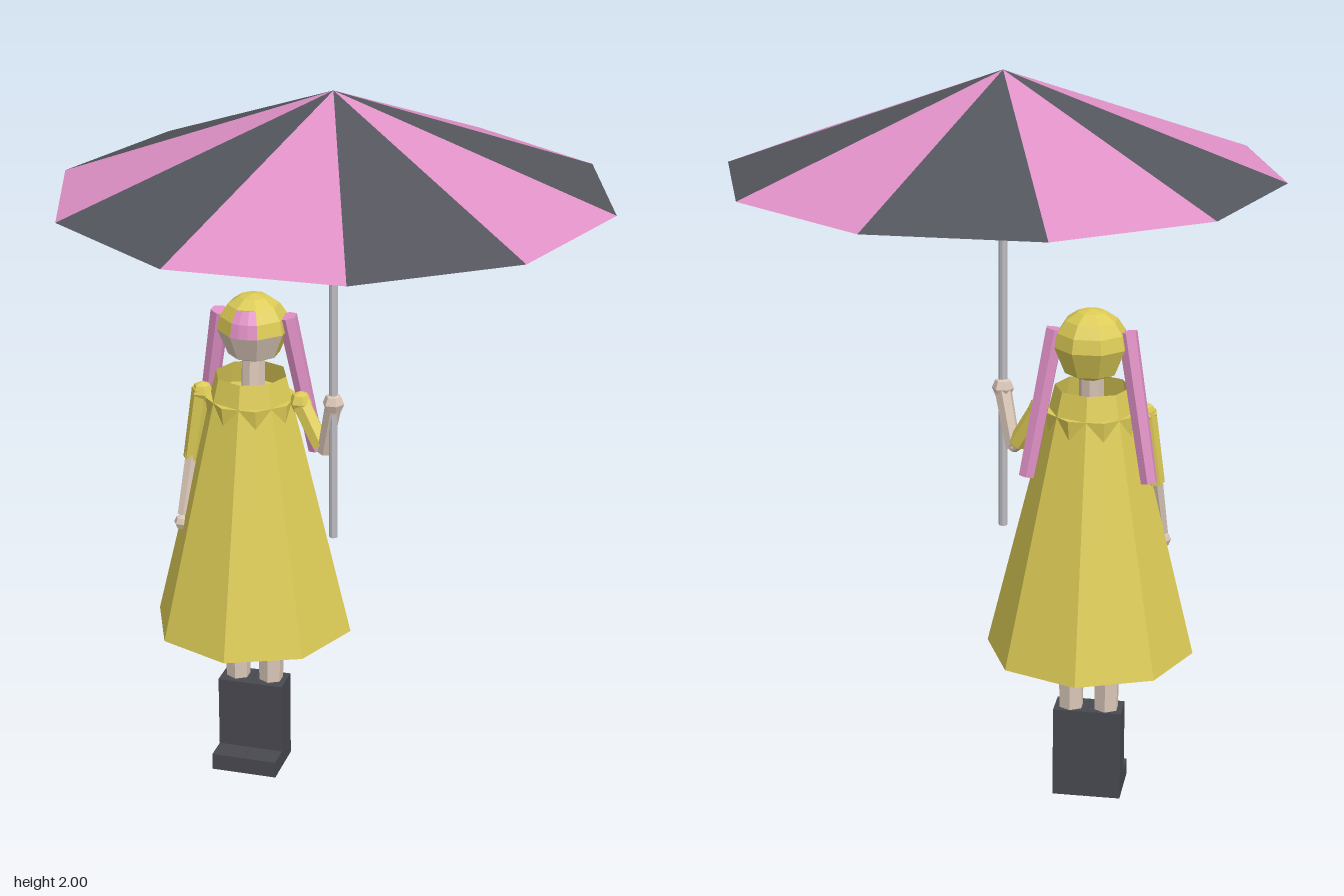
import * as THREE from 'three';

const mat = (name, color, side = THREE.FrontSide) => {
  const m = new THREE.MeshStandardMaterial({ color, side });
  m.name = name;
  return m;
};

export function createModel() {
  const model = new THREE.Group();
  model.name = 'girlWithUmbrella';

  const yellow = mat('yellow', 0xdccb56, THREE.DoubleSide);
  const pink = mat('pink', 0xe091c6, THREE.DoubleSide);
  const charcoal = mat('charcoal', 0x54565d, THREE.DoubleSide);
  const bootBlack = mat('bootBlack', 0x484950);
  const skin = mat('skin', 0xdac7b8);
  const steel = mat('steel', 0xbcbcc2);

  // Faceted mesh: unshared vertices give flat normals
  const add = (parent, name, geometry, material, x = 0, y = 0, z = 0) => {
    const g = geometry.index ? geometry.toNonIndexed() : geometry;
    g.computeVertexNormals();
    const m = new THREE.Mesh(g, material);
    m.name = name;
    m.position.set(x, y, z);
    parent.add(m);
    return m;
  };

  // Tapered limb between two points
  const limb = (parent, name, a, b, ra, rb, sides, material) => {
    const p = new THREE.Vector3(...a), q = new THREE.Vector3(...b);
    const d = q.clone().sub(p);
    const m = add(parent, name, new THREE.CylinderGeometry(rb, ra, d.length(), sides), material);
    m.position.copy(p).add(q).multiplyScalar(0.5);
    m.quaternion.setFromUnitVectors(new THREE.Vector3(0, 1, 0), d.normalize());
    return m;
  };

  // Umbrella: ten alternating panels and a pole
  const umbrella = new THREE.Group();
  umbrella.name = 'umbrella';
  model.add(umbrella);
  const rim = (k) => {
    const a = (k * Math.PI) / 5;
    return [0.74 * Math.cos(a), 1.73, 0.74 * Math.sin(a)];
  };
  for (let k = 0; k < 10; k++) {
    const g = new THREE.BufferGeometry();
    g.setAttribute('position', new THREE.Float32BufferAttribute([0, 2, 0, ...rim(k + 1), ...rim(k)], 3));
    add(umbrella, 'canopyPanel', g, k % 2 ? charcoal : pink);
  }
  limb(umbrella, 'pole', [0, 0.75, 0], [0, 1.99, 0], 0.012, 0.012, 8, steel);

  // Girl, placed beside the pole
  const girl = new THREE.Group();
  girl.name = 'girl';
  girl.position.set(-0.25, 0, -0.063);
  model.add(girl);

  // Coat, open at both ends, over a torso whose corners show at the chest
  add(girl, 'coat', new THREE.CylinderGeometry(0.1, 0.282, 0.745, 8, 1, true), yellow, 0, 0.8075, 0);
  add(girl, 'torso', new THREE.CylinderGeometry(0.126, 0.085, 0.33, 8, 1, false, Math.PI / 8), yellow, 0, 0.95, 0);
  limb(girl, 'neck', [0, 1.1, -0.015], [0, 1.24, -0.025], 0.033, 0.033, 8, skin);

  // Head: hood, fringe and face share one faceted ball
  const head = new THREE.Group();
  head.name = 'head';
  head.position.set(0, 1.3, -0.03);
  girl.add(head);
  const step = Math.PI / 8;
  const patch = (name, material, start, faces, row, rows) =>
    add(head, name, new THREE.SphereGeometry(0.1, faces, rows,
      start * step, faces * 2 * step, row * 2 * step, rows * 2 * step), material);
  patch('hoodTop', yellow, 1, 8, 0, 1);
  patch('hoodBand', yellow, 5, 7, 1, 1);
  patch('fringe', pink, 3, 1, 1, 1);
  patch('face', skin, 1, 3, 2, 2);
  patch('hoodBack', yellow, 7, 5, 2, 2);

  for (const s of [-1, 1]) {
    // Pigtails
    limb(girl, 'pigtail', [s * 0.095, 1.342, -0.032], [s * 0.163, 0.945, -0.074], 0.027, 0.023, 6, pink);
    // Legs and boots
    limb(girl, 'leg', [s * 0.048, 0.2, 0], [s * 0.053, 0.82, 0.003], 0.034, 0.043, 6, skin);
    add(girl, 'bootShaft', new THREE.BoxGeometry(0.093, 0.255, 0.088), bootBlack, s * 0.047, 0.1275, 0.006);
    add(girl, 'bootToe', new THREE.BoxGeometry(0.093, 0.048, 0.155), bootBlack, s * 0.047, 0.024, 0.04);
    // Shoulders
    add(girl, 'shoulder', new THREE.SphereGeometry(0.032, 6, 4), yellow, s * 0.14, 1.11, 0);
  }

  // Hanging right arm
  limb(girl, 'rightSleeve', [-0.142, 1.12, 0], [-0.172, 0.915, 0.01], 0.028, 0.024, 6, yellow);
  limb(girl, 'rightForearm', [-0.17, 0.93, 0.01], [-0.187, 0.76, 0.052], 0.021, 0.017, 6, skin);
  add(girl, 'rightHand', new THREE.SphereGeometry(0.022, 6, 4), skin, -0.189, 0.738, 0.058);

  // Bent left arm holding the pole
  limb(girl, 'leftSleeve', [0.14, 1.11, 0], [0.205, 1.0, 0.025], 0.028, 0.026, 6, yellow);
  limb(girl, 'leftElbow', [0.2, 1.01, 0.023], [0.22, 0.983, 0.03], 0.024, 0.016, 6, skin);
  limb(girl, 'leftForearm', [0.216, 0.985, 0.03], [0.25, 1.14, 0.06], 0.021, 0.024, 6, skin);
  add(girl, 'leftHand', new THREE.SphereGeometry(0.03, 6, 4), skin, 0.25, 1.142, 0.062);

  return model;
}
